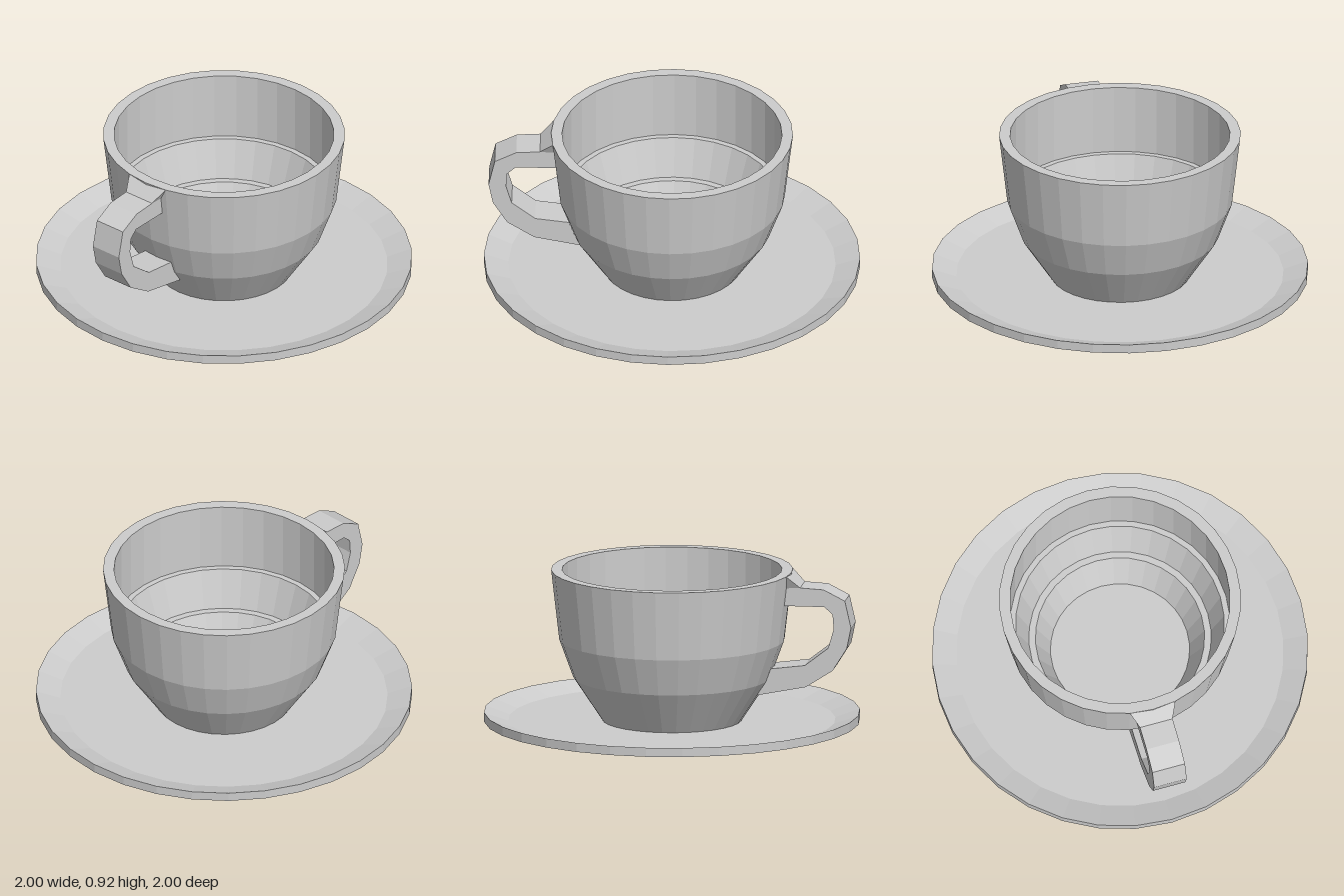
import * as THREE from 'three';
import { ConvexGeometry } from 'three/addons/geometries/ConvexGeometry.js';

const SIDES = 32;

export function createModel() {
  const group = new THREE.Group();
  const china = new THREE.MeshStandardMaterial({ color: 0xcccccc, flatShading: true });
  china.name = 'china';

  const add = (name, geometry) => {
    const mesh = new THREE.Mesh(geometry, china);
    mesh.name = name;
    group.add(mesh);
    return mesh;
  };
  const points = (list) => list.map(([x, y]) => new THREE.Vector2(x, y));
  const lathe = (profile) => new THREE.LatheGeometry(points(profile), SIDES);

  // Saucer: sloping underside, upright edge, shallow dished top
  add('saucer', lathe([
    [0, 0], [0.31, 0.003], [0.80, 0.07], [0.87, 0.098], [1, 0.098],
    [1, 0.147], [0.87, 0.102], [0, 0.102],
  ]));

  // Cup: faceted outer wall, flat rim, inner wall with two small ledges
  add('cup', lathe([
    [0, 0.1], [0.37, 0.1], [0.525, 0.335], [0.60, 0.54], [0.643, 0.915],
    [0.585, 0.915], [0.585, 0.54], [0.555, 0.54], [0.485, 0.335],
    [0.45, 0.335], [0.37, 0.15], [0, 0.15],
  ]));

  // Handle: flat-sided loop on the model's right
  const outline = new THREE.Shape(points([
    [-0.60, 0.85], [-0.70, 0.85], [-0.826, 0.843], [-0.94, 0.785], [-0.973, 0.64],
    [-0.95, 0.527], [-0.874, 0.405], [-0.73, 0.313], [-0.47, 0.262],
    [-0.525, 0.405], [-0.725, 0.43], [-0.85, 0.527], [-0.88, 0.63],
    [-0.874, 0.71], [-0.83, 0.75], [-0.60, 0.75],
  ]));
  const loop = new THREE.ExtrudeGeometry(outline, { depth: 0.18, bevelEnabled: false });
  loop.translate(0, 0, -0.09);
  add('handle', loop);

  // Flared wedge joining the handle to the rim
  const corners = [];
  for (const s of [-1, 1]) {
    corners.push(
      new THREE.Vector3(-0.70, 0.85, s * 0.09),
      new THREE.Vector3(-0.632, 0.913, s * 0.125),
      new THREE.Vector3(-0.61, 0.913, s * 0.125),
      new THREE.Vector3(-0.61, 0.845, s * 0.09),
    );
  }
  add('handleFlare', new ConvexGeometry(corners));

  return group;
}
